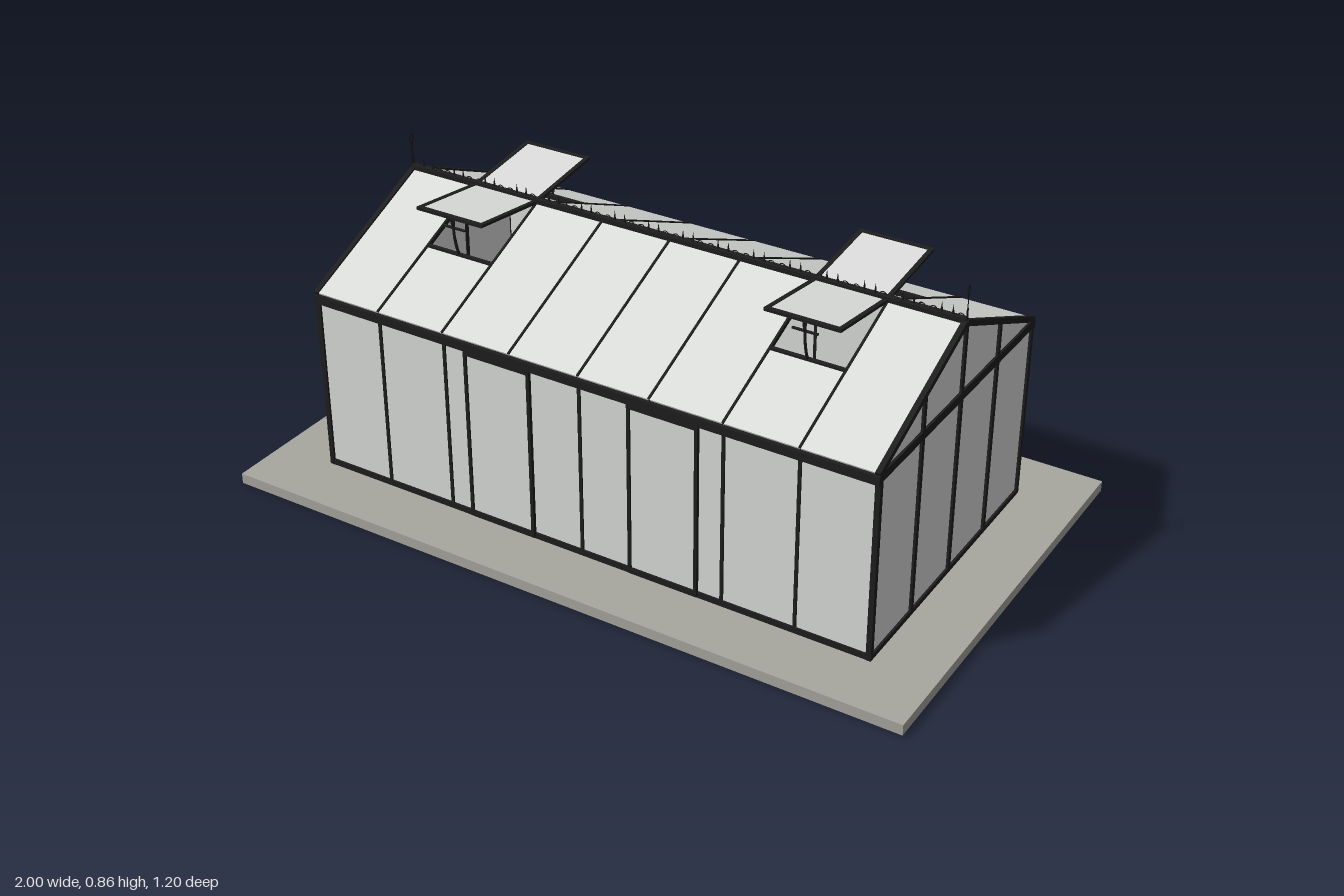
import * as THREE from 'three';

export function createModel() {
  const root = new THREE.Group();
  const frame = new THREE.MeshStandardMaterial({ name: 'black frame', color: 0x1e1e1e });
  const glass = new THREE.MeshStandardMaterial({ name: 'pale glass', color: 0xdcdedc });
  const stone = new THREE.MeshStandardMaterial({ name: 'stone base', color: 0xa8a79f });
  const iron = new THREE.MeshStandardMaterial({ name: 'thin ironwork', color: 0x1e1e1e, side: THREE.DoubleSide });

  const W = 0.825, D = 0.427, FLOOR = 0.03, EAVE = 0.56, RIDGE = 0.75, BAY = W / 4;
  const roofY = z => RIDGE - (RIDGE - EAVE) * Math.abs(z) / D;

  const add = (name, geo, mat, x = 0, y = 0, z = 0) => {
    const m = new THREE.Mesh(geo, mat);
    m.name = name;
    m.position.set(x, y, z);
    root.add(m);
    return m;
  };
  // Box given by its limits on each axis
  const box = (name, mat, x0, x1, y0, y1, z0, z1) =>
    add(name, new THREE.BoxGeometry(x1 - x0, y1 - y0, Math.abs(z1 - z0)), mat,
      (x0 + x1) / 2, (y0 + y1) / 2, (z0 + z1) / 2);
  // Bar or sheet running between two points of a z-y section
  const slope = (name, mat, x, w, t, z0, y0, z1, y1) => {
    const m = add(name, new THREE.BoxGeometry(w, t, Math.hypot(z1 - z0, y1 - y0)), mat,
      x, (y0 + y1) / 2, (z0 + z1) / 2);
    m.rotation.x = Math.atan2(y0 - y1, z1 - z0);
    return m;
  };

  // Base slab
  box('base', stone, -1, 1, 0, FLOOR, -0.6, 0.6);

  // Long walls: glass, rails, gutters and mullions
  for (const s of [1, -1]) {
    box('longWallGlass', glass, -W, W, FLOOR, 0.55, s * (D - 0.008), s * (D - 0.002));
    box('sillRail', frame, -W, W, FLOOR, 0.047, s * (D - 0.012), s * (D + 0.003));
    box('gutter', frame, -W - 0.004, W + 0.004, 0.532, 0.556, s * (D - 0.01), s * (D + 0.011));
    for (let i = -3; i <= 3; i++) {
      if (s > 0 && Math.abs(i) === 1) continue; // doorways
      box('wallMullion', frame, i * BAY - 0.0045, i * BAY + 0.0045, FLOOR, 0.55, s * (D - 0.01), s * (D + 0.002));
    }
    for (const e of [1, -1]) {
      add('cornerPost', new THREE.BoxGeometry(0.014, 0.53, 0.014), frame, e * (W - 0.003), 0.295, s * (D - 0.003));
    }
  }

  // Sliding doors at the front
  for (const s of [1, -1]) {
    const x0 = s * 0.245 - 0.097, x1 = s * 0.245 + 0.097, z0 = D, z1 = D + 0.01;
    box('doorGlass', glass, x0, x1, 0.045, 0.53, D + 0.001, D + 0.005);
    box('doorStile', frame, x0 - 0.004, x0 + 0.005, 0.035, 0.535, z0, z1);
    box('doorStile', frame, x1 - 0.005, x1 + 0.004, 0.035, 0.535, z0, z1);
    box('doorRail', frame, x0, x1, 0.035, 0.052, z0, z1);
    box('doorRail', frame, x0, x1, 0.52, 0.535, z0, z1);
  }

  // Gable ends
  const outline = new THREE.Shape([[-D, FLOOR], [D, FLOOR], [D, EAVE], [0, RIDGE], [-D, EAVE]]
    .map(p => new THREE.Vector2(...p)));
  for (const s of [1, -1]) {
    const pane = add('gableGlass', new THREE.ExtrudeGeometry(outline, { depth: 0.005, bevelEnabled: false }),
      glass, s * (W - 0.005) - 0.0025);
    pane.rotation.y = -Math.PI / 2;
    pane.position.x += 0.005;
    const a = s * (W - 0.01), b = s * (W + 0.004), x0 = Math.min(a, b), x1 = Math.max(a, b);
    box('gableSill', frame, x0, x1, FLOOR, 0.044, -D, D);
    box('gableTie', frame, x0, x1, 0.536, 0.56, -D, D);
    for (const z of [-0.21, 0, 0.21]) {
      box('gableMullion', frame, x0, x1, FLOOR, roofY(z), z - 0.007, z + 0.007);
    }
    for (const f of [1, -1]) {
      slope('vergeRafter', frame, (x0 + x1) / 2, 0.014, 0.016, 0, RIDGE, f * (D + 0.006), EAVE - 0.002);
    }
  }

  // Roof panes, with open bays near both ends
  const VENT = 0.21;
  for (const f of [1, -1]) {
    for (let i = 0; i < 8; i++) {
      const open = i === 1 || i === 6, x = (i - 3.5) * BAY, z = open ? VENT : 0;
      slope('roofPane', glass, x, BAY, 0.005, f * z, roofY(z), f * (D + 0.004), EAVE);
      if (i) slope('roofBar', frame, x - BAY / 2, 0.006, 0.012, 0, RIDGE, f * (D + 0.004), EAVE);
      if (!open) continue;

      // Raised roof vent with its frame and stay
      const z1 = f * 0.247, y0 = 0.752, y1 = 0.783;
      slope('ventGlass', glass, x, BAY - 0.01, 0.004, 0, y0, z1, y1);
      for (const e of [1, -1]) {
        slope('ventStile', frame, x + e * (BAY / 2 - 0.005), 0.012, 0.008, 0, y0, z1, y1);
      }
      add('ventRail', new THREE.BoxGeometry(BAY, 0.008, 0.013), frame, x, y1 - 0.001, z1 - f * 0.006);
      add('ventSill', new THREE.BoxGeometry(BAY, 0.012, 0.012), frame, x, roofY(VENT), f * VENT);
      const bow = new THREE.QuadraticBezierCurve3(
        new THREE.Vector3(x, 0.66, f * 0.212), new THREE.Vector3(x, 0.72, f * 0.238), new THREE.Vector3(x, 0.778, f * 0.228));
      add('ventStay', new THREE.TubeGeometry(bow, 8, 0.004, 6), frame);
      slope('ventStayBrace', frame, x, 0.004, 0.004, f * 0.214, 0.66, f * 0.24, 0.775);
      add('ventStayHead', new THREE.BoxGeometry(0.07, 0.005, 0.006), frame, x, 0.745, f * 0.229);
    }
  }

  // Ridge beam and its cresting of small spikes and scrolls
  box('ridgeBeam', frame, -W, W, 0.742, 0.763, -0.008, 0.008);
  for (let i = 0; i < 16; i++) {
    const x = (i - 7.5) * BAY / 2;
    for (const e of [1, -1]) {
      add('crestSpike', new THREE.ConeGeometry(0.004, 0.03, 6), frame, x + e * 0.015, 0.774, 0);
      const scroll = add('crestScroll', new THREE.TorusGeometry(0.009, 0.0015, 4, 8, Math.PI), frame, x + e * 0.036, 0.762, 0);
      scroll.scale.z = 0.8;
    }
  }

  // Flat finials over the gables
  const finial = new THREE.Shape([[-0.006, 0.75], [0.006, 0.75], [0.006, 0.785], [0.003, 0.792], [0.003, 0.815],
    [0.011, 0.838], [0, 0.855], [-0.011, 0.838], [-0.003, 0.815], [-0.003, 0.792], [-0.006, 0.785]]
    .map(p => new THREE.Vector2(...p)));
  finial.holes.push(new THREE.Path([[0, 0.824], [-0.005, 0.838], [0, 0.845], [0.005, 0.838]]
    .map(p => new THREE.Vector2(...p))));
  for (const s of [1, -1]) {
    add('finial', new THREE.ShapeGeometry(finial), iron, s * W).rotation.y = Math.PI / 2;
  }

  // Downpipes at the back corners, with brackets and kicked-out shoes
  for (const s of [1, -1]) {
    const x = s * 0.81, z = -D - 0.006;
    add('downpipe', new THREE.CylinderGeometry(0.006, 0.006, 0.47, 8), frame, x, 0.31, z);
    slope('pipeShoe', frame, x, 0.011, 0.01, z, 0.077, z - 0.022, 0.053);
    for (const y of [0.15, 0.3, 0.45]) {
      add('pipeBracket', new THREE.BoxGeometry(0.018, 0.008, 0.016), frame, x, y, z);
    }
  }
  return root;
}
